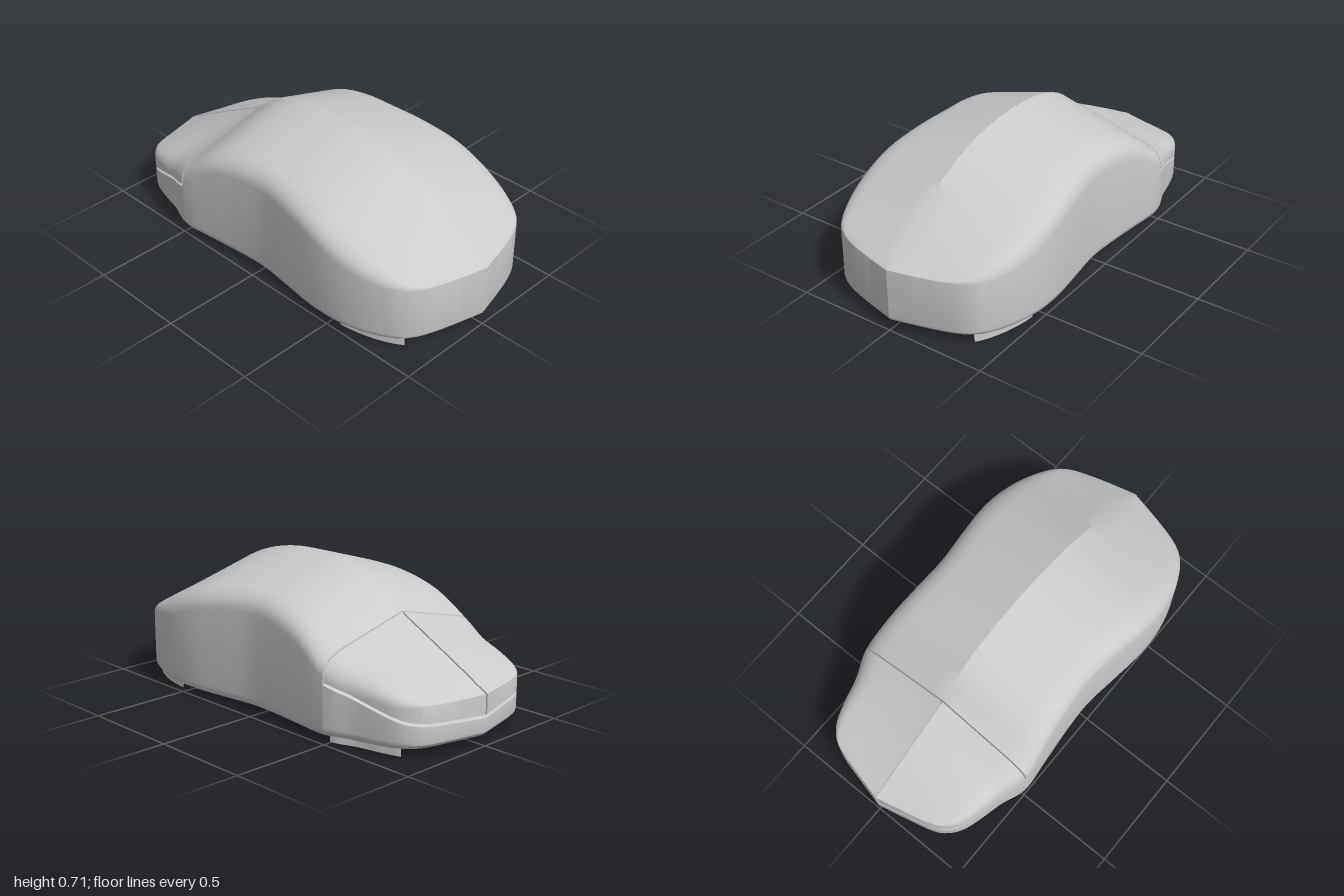
import * as THREE from 'three';
import { toCreasedNormals } from 'three/addons/utils/BufferGeometryUtils.js';

// Stations from front to back: z, half width, ridge height, shoulder height, shoulder roundness
const STATIONS = [
  [1, 0, 0.32, 0.32, 0], [0.965, 0.14, 0.345, 0.32, 0], [0.93, 0.26, 0.367, 0.322, 0.05],
  [0.895, 0.34, 0.39, 0.332, 0.15], [0.85, 0.395, 0.42, 0.35, 0.35], [0.78, 0.44, 0.465, 0.38, 0.6],
  [0.68, 0.48, 0.53, 0.42, 0.85], [0.55, 0.505, 0.605, 0.47, 1], [0.4, 0.506, 0.665, 0.52, 1],
  [0.22, 0.484, 0.703, 0.555, 1], [0.04, 0.463, 0.712, 0.568, 1], [-0.14, 0.47, 0.697, 0.555, 1],
  [-0.32, 0.487, 0.638, 0.5, 1], [-0.49, 0.5, 0.513, 0.39, 1], [-0.62, 0.455, 0.443, 0.335, 0.9],
  [-0.74, 0.425, 0.38, 0.3, 0.7], [-0.83, 0.395, 0.332, 0.27, 0.5], [-0.89, 0.35, 0.3, 0.25, 0.25],
  [-0.93, 0.285, 0.277, 0.24, 0.1], [-0.965, 0.15, 0.258, 0.238, 0], [-1, 0, 0.24, 0.24, 0],
];
const SEAM = 13; // station where the buttons begin
const LAST = STATIONS.length - 1;
const V = (x, y, z) => new THREE.Vector3(x, y, z);
const curve = (pick) => new THREE.CatmullRomCurve3(STATIONS.map(pick), false, 'catmullrom', 0.5);
const plan = curve((s) => V(s[0], s[1], s[4]));
const heights = curve((s) => V(s[2], s[3], 0));

function station(t) {
  const p = plan.getPoint(t / LAST), h = heights.getPoint(t / LAST);
  return { z: p.x, w: Math.max(0, p.y), round: Math.max(0, p.z), ridge: h.x, shoulder: h.y };
}

// Underside line of the buttons
const buttonLine = (z) => z > -0.87
  ? THREE.MathUtils.mapLinear(z, -0.49, -0.87, 0.29, 0.17)
  : THREE.MathUtils.mapLinear(z, -0.87, -1, 0.17, 0.145);

// Rounded shoulder and sloping top, from the wall up to the ridge
function topProfile({ z, w, round, ridge, shoulder }) {
  const k = 0.25 * round, pts = [];
  const bend = new THREE.QuadraticBezierCurve(
    new THREE.Vector2(w, shoulder - 0.085 * round),
    new THREE.Vector2(w, shoulder),
    new THREE.Vector2(w * (1 - k), THREE.MathUtils.lerp(shoulder, ridge, k)));
  for (const p of bend.getPoints(8)) pts.push(V(p.x, p.y, z));
  const end = pts[pts.length - 1];
  for (let i = 1; i <= 5; i++) pts.push(end.clone().lerp(V(0, ridge, z), i / 5));
  return pts;
}

// Flat floor and rounded lower edge
function floorProfile({ z, w }) {
  const pts = [V(0, 0.03, z * 0.92)];
  for (let i = 0; i <= 5; i++) {
    const a = (i / 5) * Math.PI / 2, s = 0.92 + 0.08 * Math.sin(a);
    pts.push(V(w * s, 0.075 - 0.045 * Math.cos(a), z * s));
  }
  return pts;
}

// Full closed ring from a half profile that runs from floor centre to top centre
const mirrorRing = (half) =>
  [...half, ...half.slice(1, -1).reverse().map((p) => V(-p.x, p.y, p.z))];

const shellRing = (s) => mirrorRing([...floorProfile(s), ...topProfile(s)]);

function baseRing(s) {
  const y = buttonLine(s.z) - 0.015;
  return mirrorRing([...floorProfile(s), V(s.w, y, s.z), V(s.w * 0.5, y, s.z), V(0, y, s.z)]);
}

function buttonRing(s, side) {
  const y = buttonLine(s.z), gap = 0.005;
  const ring = [V(0, y, s.z), V(s.w, y, s.z), ...topProfile(s)];
  for (const p of ring) p.x = side * Math.max(p.x, gap);
  return side > 0 ? ring : ring.reverse();
}

// Skin over closed rings that run from front to back, with capped ends
function loft(rings) {
  const pos = [], n = rings[0].length, tri = new THREE.Triangle();
  const add = (a, b, c) => {
    if (tri.set(a, b, c).getArea() > 1e-9) for (const p of [a, b, c]) pos.push(p.x, p.y, p.z);
  };
  const first = rings[0], last = rings[rings.length - 1];
  const middle = (r) => r.reduce((m, p) => m.addScaledVector(p, 1 / n), V(0, 0, 0));
  const c0 = middle(first), c1 = middle(last);
  for (let j = 0; j < n; j++) {
    const k = (j + 1) % n;
    for (let i = 0; i < rings.length - 1; i++) {
      const a = rings[i], b = rings[i + 1];
      add(a[j], b[j], b[k]);
      add(a[j], b[k], a[k]);
    }
    add(c0, first[j], first[k]);
    add(c1, last[k], last[j]);
  }
  const g = new THREE.BufferGeometry();
  g.setAttribute('position', new THREE.Float32BufferAttribute(pos, 3));
  return toCreasedNormals(g, 0.42);
}

function rings(from, to, make) {
  const steps = Math.round((to - from) * 4);
  return Array.from({ length: steps + 1 }, (_, i) => make(station(from + (to - from) * i / steps)));
}

// Glide foot: outer edge follows the body, inner edge bulges inward
function footGeometry(from, to, side) {
  const outer = [], inner = [];
  for (let i = 0; i <= 16; i++) {
    const s = station(from + (to - from) * i / 16), x = s.w * 0.91;
    outer.push(new THREE.Vector2(side * x, s.z));
    if (i > 0 && i < 16) {
      inner.unshift(new THREE.Vector2(side * (x - 0.1 * Math.sin(Math.PI * i / 16)), s.z));
    }
  }
  const g = new THREE.ExtrudeGeometry(new THREE.Shape([...outer, ...inner]), { depth: 0.035, bevelEnabled: false });
  return g.rotateX(Math.PI / 2).translate(0, 0.035, 0);
}

export function createModel() {
  const group = new THREE.Group();
  const material = new THREE.MeshStandardMaterial({ color: 0xcccccc });
  const add = (name, geometry) => {
    const mesh = new THREE.Mesh(geometry, material);
    mesh.name = name;
    group.add(mesh);
  };

  add('palmShell', loft(rings(0, SEAM, shellRing)));
  add('buttonBase', loft(rings(SEAM, LAST, baseRing)));

  for (const [label, side] of [['left', 1], ['right', -1]]) {
    add(label + 'Button', loft(rings(SEAM + 0.04, LAST, (s) => buttonRing(s, side))));
    add(label + 'FrontFoot', footGeometry(4, 7, side));
    add(label + 'BackFoot', footGeometry(SEAM, 16, side));
  }
  return group;
}
